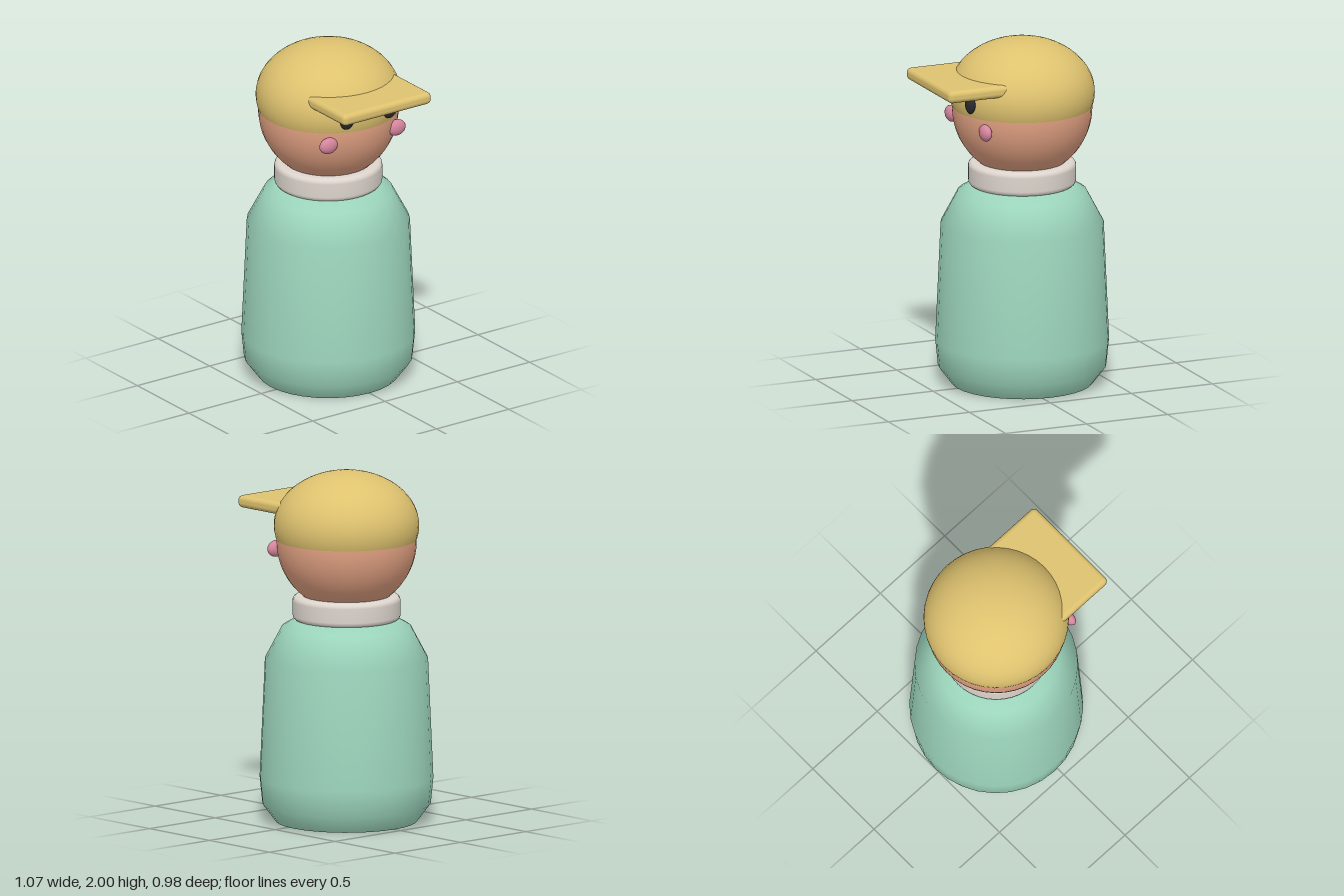
import * as THREE from 'three';
import { RoundedBoxGeometry } from 'three/addons/geometries/RoundedBoxGeometry.js';

const mat = (name, color) => {
  const m = new THREE.MeshStandardMaterial({ color });
  m.name = name;
  return m;
};

export function createModel() {
  const green = mat('mint green', 0x9dd6bd);
  const yellow = mat('straw yellow', 0xdec26f);
  const skin = mat('skin', 0xdf9f80);
  const white = mat('warm white', 0xddd5cd);
  const pink = mat('cheek pink', 0xd6869f);
  const black = mat('eye black', 0x2b2b2f);

  const model = new THREE.Group();
  model.name = 'pegFigure';
  const AXIS = -0.05; // the round parts share this x

  const add = (name, geometry, material, x, y, z) => {
    const mesh = new THREE.Mesh(geometry, material);
    mesh.name = name;
    mesh.position.set(x, y, z);
    model.add(mesh);
    return mesh;
  };
  const lathe = (points, segments) =>
    new THREE.LatheGeometry(points.map(([r, y]) => new THREE.Vector2(r, y)), segments);
  const ellipsoid = (rx, ry, rz, w = 24, h = 16) =>
    new THREE.SphereGeometry(1, w, h).scale(rx, ry, rz);

  // Body with a flat base
  add('body', lathe([
    [0.4, 0], [0.475, 0.1], [0.49, 0.25], [0.46, 0.93], [0.365, 1.11], [0.28, 1.16], [0, 1.17],
  ], 32), green, AXIS, 0, 0);
  add('bodyBase', new THREE.CircleGeometry(0.4, 32).rotateX(Math.PI / 2).rotateY(Math.PI / 2),
    green, AXIS, 0, 0);

  // Collar band with rounded rims
  const R = 0.305, r = 0.03, bottom = 1.15, top = 1.29;
  const profile = [[0.1, bottom]];
  for (const [cy, start] of [[bottom + r, -Math.PI / 2], [top - r, 0]]) {
    for (let i = 0; i <= 4; i++) {
      const a = start + (i / 4) * (Math.PI / 2);
      profile.push([R - r + r * Math.cos(a), cy + r * Math.sin(a)]);
    }
  }
  profile.push([0.1, top]);
  add('collar', lathe(profile, 40), white, AXIS, 0, 0);

  // Head, and the cap that swallows its upper half
  add('head', ellipsoid(0.396, 0.396, 0.396, 40, 28), skin, AXIS, 1.6, 0);
  add('cap', ellipsoid(0.41, 0.31, 0.41, 40, 28), yellow, AXIS, 1.69, 0);

  // Flat cap brim
  add('brim', new RoundedBoxGeometry(0.435, 0.07, 0.61, 4, 0.028), yellow, 0.317, 1.785, 0);

  // Eyes and cheeks, mirrored across z
  for (const [side, s] of [['first', 1], ['second', -1]]) {
    add(side + 'Eye', ellipsoid(0.026, 0.053, 0.045), black, 0.336, 1.69, s * 0.146);
    add(side + 'Cheek', ellipsoid(0.032, 0.047, 0.059), pink, 0.282, 1.54, s * 0.235);
  }
  return model;
}
